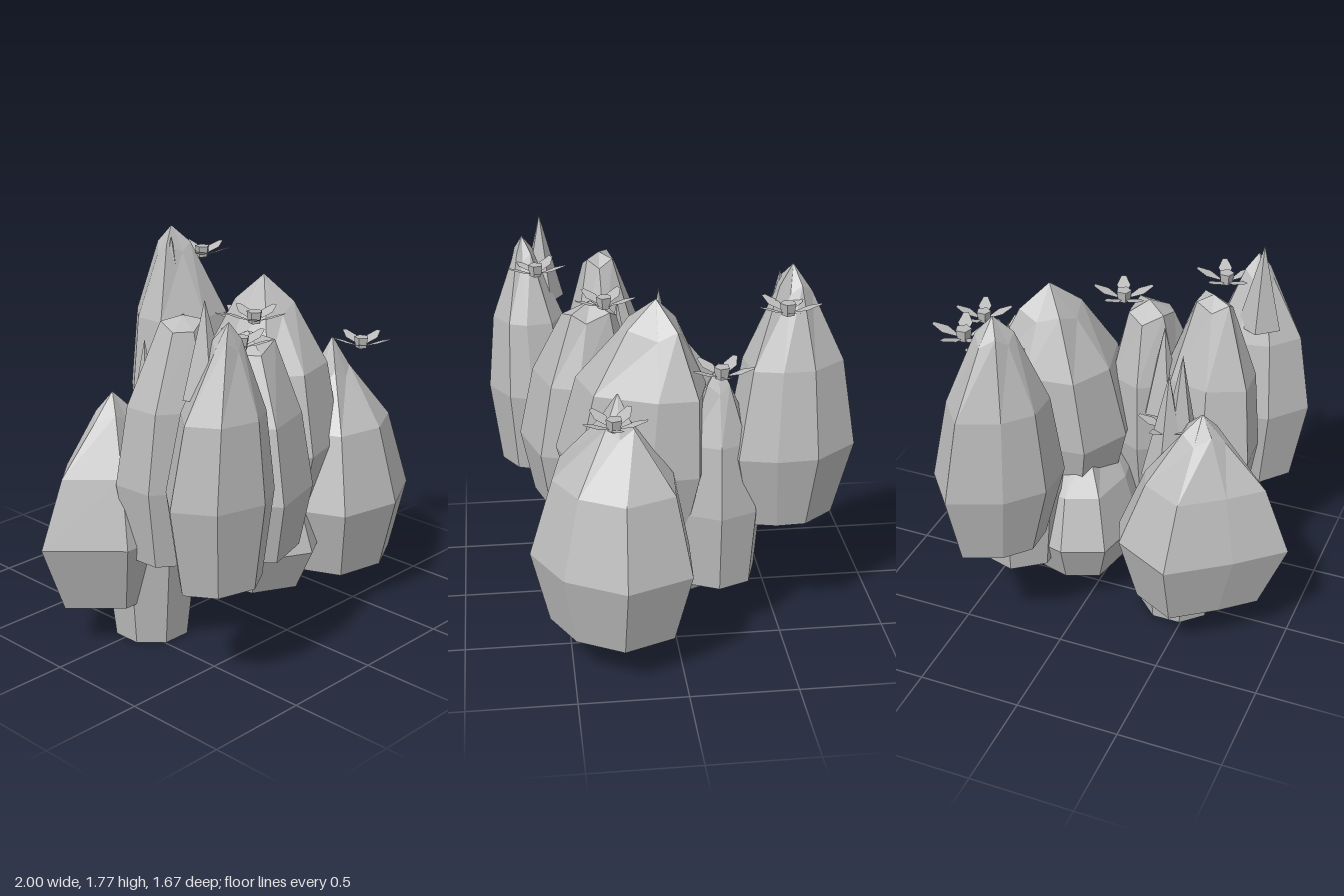
import * as THREE from 'three';

const grey = new THREE.MeshStandardMaterial({ color: 0xbcbcbc, flatShading: true, side: THREE.DoubleSide });
grey.name = 'stone grey';

function addMesh(parent, name, geometry) {
  const mesh = new THREE.Mesh(geometry, grey);
  mesh.name = name;
  parent.add(mesh);
  return mesh;
}

// Faceted lobe: the belly outline (x, z pairs, front round by +x) shrinks to the base below,
// and to a shoulder, a jagged crown and a leaning tip above.
// crown: its size and its share of the way from belly to tip
function addLobe(parent, name, { outline, base, foot = 0.78, belly, shoulder = 0.77, crown, tip }) {
  const sides = outline.length;
  const centreX = outline.reduce((sum, p) => sum + p[0], 0) / sides;
  const centreZ = outline.reduce((sum, p) => sum + p[1], 0) / sides;
  const levels = [[foot, 0], [1, 0], [shoulder, 0.48], crown, [0.01, 1]];
  const geometry = new THREE.CylinderGeometry(1, 1, 1, sides, 4);
  const position = geometry.attributes.position;
  const v = new THREE.Vector3();
  for (let i = 0; i < position.count; i++) {
    v.fromBufferAttribute(position, i);
    const level = Math.round((v.y + 0.5) * 4);
    const [size, rise] = levels[level];
    const reach = Math.hypot(v.x, v.z) * size;
    const corner = (Math.round(Math.atan2(v.x, v.z) / (Math.PI * 2) * sides) + sides) % sides;
    const jag = level === 3 ? (corner % 2 ? 0.02 : -0.02) : 0;
    position.setXYZ(i,
      centreX + (tip[0] - centreX) * rise + (outline[corner][0] - centreX) * reach,
      level === 0 ? base : belly + (tip[1] - belly) * rise + jag,
      centreZ + (tip[2] - centreZ) * rise + (outline[corner][1] - centreZ) * reach);
  }
  geometry.computeVertexNormals();
  addMesh(parent, name, geometry);
}

// Sharp shoot with its point at x, y, z
function addShoot(parent, x, y, z, radius, length) {
  const shoot = addMesh(parent, 'shoot', new THREE.ConeGeometry(radius, length, 5));
  shoot.position.set(x, y - length / 2, z);
  shoot.rotation.y = x * 5;
}

// Five-sided hub with five bent, kite-shaped petals
function addFlower(parent, x, y, z) {
  const flower = new THREE.Group();
  flower.name = 'flower';
  flower.position.set(x, y, z);
  addMesh(flower, 'flowerHub', new THREE.CylinderGeometry(0.038, 0.03, 0.055, 5));
  const petalWidth = [0.02, 0.066, 0.022];
  for (let i = 0; i < 5; i++) {
    const geometry = new THREE.PlaneGeometry(1, 1, 2, 1).rotateX(-Math.PI / 2);
    const position = geometry.attributes.position;
    for (let k = 0; k < position.count; k++) {
      const along = Math.round(position.getX(k) * 2 + 1);
      position.setXYZ(k, 0.03 + along * 0.058, along * 0.021 - 0.012, position.getZ(k) * petalWidth[along]);
    }
    geometry.computeVertexNormals();
    addMesh(flower, 'petal', geometry).rotation.y = Math.PI * (0.42 + 0.4 * i);
  }
  parent.add(flower);
}

export function createModel() {
  const model = new THREE.Group();
  model.name = 'floweringRockPlant';

  // Trunk, widening upwards
  const trunk = addMesh(model, 'trunk', new THREE.CylinderGeometry(0.245, 0.182, 0.55, 8));
  trunk.position.set(-0.425, 0.275, 0.01);
  trunk.rotation.y = Math.PI / 8;

  // Lobes
  addLobe(model, 'frontLeftLobe', {
    outline: [[-.53, .83], [-.36, .73], [-.32, .62], [-.35, .46], [-.52, .38], [-.72, .42], [-.87, .6], [-.76, .77]],
    base: 0.5, belly: 0.91, crown: [0.25, 0.88], tip: [-0.56, 1.68, 0.64] });
  addLobe(model, 'backLeftLobe', {
    outline: [[-.45, .18], [-.22, .05], [-.18, -.18], [-.24, -.34], [-.52, -.49], [-.79, -.29], [-1, -.1], [-.73, .18]],
    base: 0.215, foot: 0.73, belly: 0.55, shoulder: 0.7, crown: [0.25, 0.84], tip: [-0.55, 1.2, -0.1] });
  addLobe(model, 'frontRightLobe', {
    outline: [[.58, .68], [.85, .54], [1, .27], [.88, -.03], [.57, -.05], [.25, .06], [.15, .35], [.27, .62]],
    base: 0.19, belly: 0.54, shoulder: 0.75, crown: [0.22, 0.79], tip: [0.56, 1.3, 0.27] });
  addLobe(model, 'frontLobe', {
    outline: [[-.25, .69], [.05, .6], [.1, .45], [.03, .2], [-.15, .12], [-.34, .25], [-.36, .55]],
    base: 0.47, belly: 0.77, shoulder: 0.86, crown: [0.45, 0.92], tip: [-0.12, 1.49, 0.34] });
  addLobe(model, 'leftLobe', {
    outline: [[-.5, .45], [-.3, .4], [-.22, .24], [-.3, .06], [-.52, .01], [-.72, .1], [-.71, .3]],
    base: 0.48, belly: 0.85, shoulder: 0.86, crown: [0.36, 0.95], tip: [-0.46, 1.62, 0.27] });
  addLobe(model, 'centreLobe', {
    outline: [[.13, .53], [.42, .45], [.56, .12], [.55, -.1], [.3, -.17], [.02, -.14], [-.1, .1], [-.03, .4]],
    base: 0.55, belly: 0.86, shoulder: 0.84, crown: [0.4, 0.82], tip: [0.28, 1.63, 0.07] });
  addLobe(model, 'backRightLobe', {
    outline: [[.3, -.25], [.53, -.28], [.57, -.45], [.56, -.64], [.4, -.84], [.16, -.74], [.02, -.58], [.02, -.37]],
    base: 0.57, foot: 0.72, belly: 0.93, crown: [0.28, 0.88], tip: [0.27, 1.77, -0.55] });
  addLobe(model, 'rightLobe', {
    outline: [[.3, .02], [.48, -.01], [.57, -.2], [.5, -.37], [.3, -.43], [.13, -.3], [.13, -.1]],
    base: 0.27, foot: 0.86, belly: 0.65, shoulder: 0.72, crown: [0.28, 0.84], tip: [0.4, 1.36, -0.2] });
  addLobe(model, 'lowLobe', {
    outline: [[.14, .53], [.4, .38], [.5, .08], [.36, -.22], [.08, -.3], [-.12, -.22], [-.18, .08], [-.12, .4]],
    base: 0.16, belly: 0.37, crown: [0.35, 0.8], tip: [0.14, 0.9, 0.1] });

  // Shoots standing out of the lobe tips
  addShoot(model, -0.61, 1.77, 0.55, 0.11, 0.42);
  addShoot(model, -0.42, 1.44, -0.02, 0.13, 0.7);
  addShoot(model, -0.37, 1.35, -0.06, 0.12, 0.55);
  addShoot(model, 0.22, 1.73, -0.5, 0.1, 0.4);
  addShoot(model, -0.25, 1.44, 0.2, 0.1, 0.45);

  // Flowers
  addFlower(model, -0.42, 1.55, 0.58);
  addFlower(model, -0.01, 1.52, 0.28);
  addFlower(model, 0.44, 1.62, -0.5);
  addFlower(model, 0.44, 1.33, -0.21);
  addFlower(model, 0.75, 1.24, 0.3);
  addFlower(model, -0.36, 1.05, -0.02);
  return model;
}
